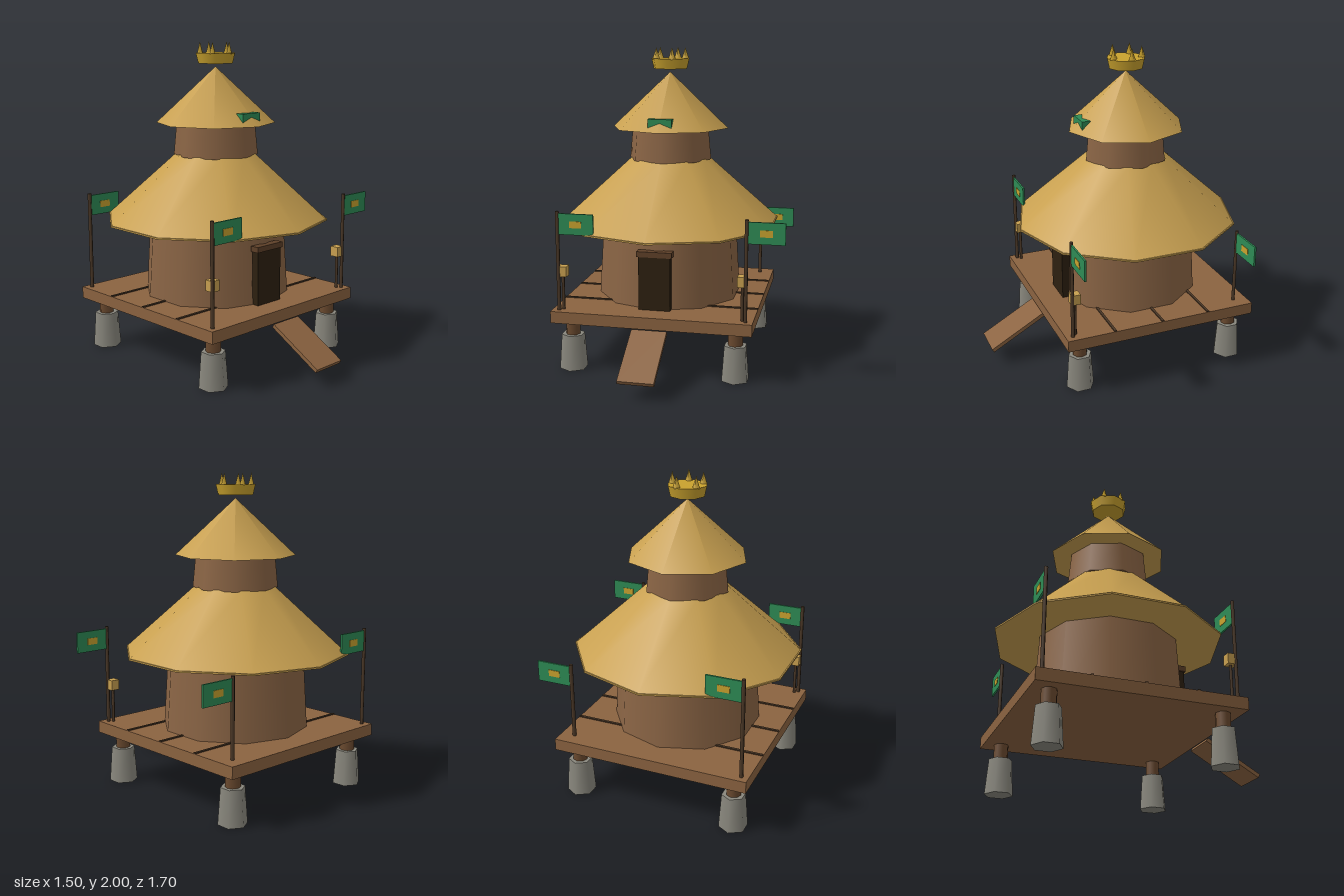
import * as THREE from 'three';

const CX = -0.063, CZ = -0.125; // axis of the hut

function mat(name, color) {
  const m = new THREE.MeshStandardMaterial({ color });
  m.name = name;
  return m;
}

export function createModel() {
  const M = {
    thatch: mat('thatch', 0xc8a050),
    wall: mat('mudWall', 0x8b6545),
    plank: mat('plank', 0x8b6340),
    post: mat('postWood', 0x6b4a2f),
    pole: mat('darkWood', 0x4a3726),
    door: mat('doorway', 0x2d2010),
    stone: mat('stone', 0x8a887e),
    gold: mat('gold', 0xc9a22e),
    green: mat('greenCloth', 0x2e8b55),
    lintel: mat('lintelWood', 0x5e4028),
  };
  const root = new THREE.Group();
  root.name = 'stiltHut';

  const add = (name, geo, material, x, y, z, parent = root) => {
    const mesh = new THREE.Mesh(geo, material);
    mesh.name = name;
    mesh.position.set(x, y, z);
    parent.add(mesh);
    return mesh;
  };
  // box given by its min and max corners
  const box = (name, material, a, b, parent) => add(name,
    new THREE.BoxGeometry(b[0] - a[0], b[1] - a[1], b[2] - a[2]), material,
    (a[0] + b[0]) / 2, (a[1] + b[1]) / 2, (a[2] + b[2]) / 2, parent);
  // upright frustum between two heights
  const drum = (name, material, x, z, y0, y1, r0, r1, sides, parent) => add(name,
    new THREE.CylinderGeometry(r1, r0, y1 - y0, sides), material, x, (y0 + y1) / 2, z, parent);

  // stilts on stone footings
  for (const sx of [-1, 1]) for (const sz of [-1, 1]) {
    const x = CX + sx * 0.518, z = CZ + sz * 0.519;
    drum('footing', M.stone, x, z, 0, 0.225, 0.09, 0.074, 6);
    drum('stilt', M.post, x, z, 0.1, 0.33, 0.046, 0.046, 8);
  }

  // platform with dark seams
  box('platform', M.plank, [-0.692, 0.32, -0.755], [0.567, 0.395, 0.505]);
  for (const z of [-0.437, -0.122, 0.198])
    box('deckSeam', M.pole, [-0.69, 0.39, z - 0.008], [0.565, 0.402, z + 0.008]);

  // boarding ramp
  const ramp = add('ramp', new THREE.BoxGeometry(0.222, 0.025, 0.4), M.plank, CX, 0.206, 0.668);
  ramp.rotation.x = Math.atan2(0.196, 0.35);

  // lower storey
  drum('lowerWall', M.wall, CX, CZ, 0.395, 0.885, 0.47, 0.44, 10);
  drum('lowerEave', M.thatch, CX, CZ, 0.873, 0.883, 0.7225, 0.7225, 10);
  drum('lowerRoof', M.thatch, CX, CZ, 0.883, 1.295, 0.715, 0.255, 10);
  box('door', M.door, [-0.164, 0.395, 0.305], [0.037, 0.735, 0.355]);
  box('doorLintel', M.lintel, [-0.175, 0.735, 0.305], [0.048, 0.77, 0.362]);

  // upper storey
  drum('upperWall', M.wall, CX, CZ, 1.287, 1.5, 0.27, 0.25, 8);
  add('upperRoof', new THREE.ConeGeometry(0.38, 0.355, 8), M.thatch, CX, 1.6675, CZ);
  box('roofRibbon', M.green, [CX - 0.076, 1.5, 0.11], [CX + 0.076, 1.57, 0.196]);

  // crown finial floating above the peak
  const crown = new THREE.Group();
  crown.name = 'crown';
  root.add(crown);
  drum('crownBand', M.gold, CX, CZ, 1.865, 1.93, 0.109, 0.124, 8, crown);
  for (let i = 0; i < 5; i++) {
    const a = i * Math.PI * 2 / 5;
    add('crownSpike', new THREE.ConeGeometry(0.025, 0.075, 4), M.gold,
      CX + 0.098 * Math.cos(a), 1.9625, CZ + 0.098 * Math.sin(a), crown);
  }

  // flags: pole x, pole z, pole top
  for (const [x, z, top] of [[-0.647, 0.46, 1.025], [0.521, 0.46, 1.025],
    [-0.647, -0.707, 1.025], [0.478, -0.665, 0.885]]) {
    const flag = new THREE.Group();
    flag.name = 'flag';
    flag.position.set(x, 0, z);
    root.add(flag);
    drum('flagPole', M.pole, 0, 0, 0.39, top, 0.012, 0.012, 6, flag);
    box('flagCloth', M.green, [0.005, top - 0.145, -0.006], [0.23, top - 0.013, 0.006], flag);
    for (const s of [-1, 1])
      add('flagPatch', new THREE.BoxGeometry(0.075, 0.042, 0.004), M.gold,
        0.117, top - 0.08, s * 0.007, flag);
  }

  // lanterns on short posts
  for (const x of [-0.625, 0.498]) {
    drum('lanternPost', M.pole, x, 0.437, 0.39, 0.62, 0.01, 0.01, 6);
    box('lantern', M.thatch, [x - 0.029, 0.61, 0.408], [x + 0.029, 0.675, 0.466]);
  }
  return root;
}
